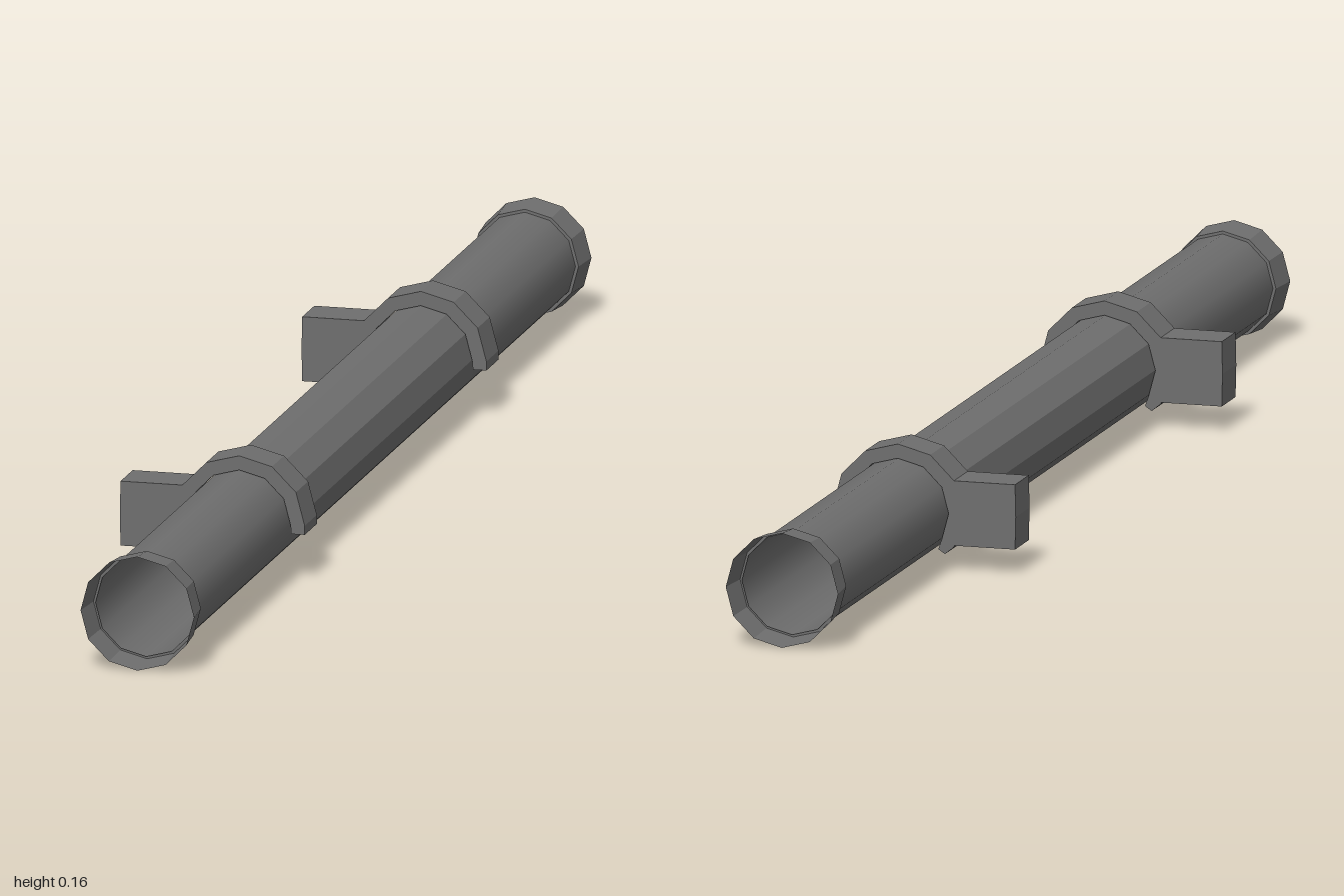
import * as THREE from 'three';

const CX = 0.036, CY = 0.078; // tube axis
const SIDES = 12;

export function createModel() {
  const model = new THREE.Group();
  const metal = new THREE.MeshStandardMaterial({ color: 0x6e6e6e, side: THREE.DoubleSide });
  metal.name = 'darkGreyMetal';

  const add = (name, geometry, x, y, z) => {
    const mesh = new THREE.Mesh(geometry, metal);
    mesh.name = name;
    mesh.position.set(x, y, z);
    model.add(mesh);
    return mesh;
  };

  // Open tube along z, either smooth or faceted
  const pipe = (rFront, rBack, length, faceted) => {
    let g = new THREE.CylinderGeometry(rFront, rBack, length, SIDES, 1, true).rotateX(Math.PI / 2);
    if (faceted) {
      g = g.toNonIndexed();
      g.computeVertexNormals();
    }
    return g;
  };

  // Flat profile (relative to the tube axis) given depth along z
  const slab = (points, depth) => new THREE.ExtrudeGeometry(
    new THREE.Shape(points.map(([x, y]) => new THREE.Vector2(x, y))),
    { depth, bevelEnabled: false }
  ).translate(0, 0, -depth / 2);

  // Clamp band: open arc from just below the right side round to the lower left
  const at = (r, deg) => [r * Math.cos(deg * Math.PI / 180), r * Math.sin(deg * Math.PI / 180)];
  const angles = [0, 30, 60, 90, 120, 150, 180, 210];
  const band = [
    [0.088, -0.012],
    ...angles.map(a => at(0.088, a)),
    [-0.064, -0.054], [-0.055, -0.048],
    ...angles.slice().reverse().map(a => at(0.069, a)),
    [0.07, -0.012],
  ];
  const bandGeometry = slab(band, 0.061);

  // Mounting block with a slightly peaked outer face
  const blockGeometry = slab([
    [-0.072, -0.042], [-0.072, 0.044], [-0.159, 0.044], [-0.16, 0.001], [-0.159, -0.042],
  ], 0.061);

  // Tube: faceted middle between the clamps, smooth ends
  add('middleTube', pipe(0.068, 0.068, 0.914, true), CX, CY, 0);

  for (const [side, s] of [['front', 1], ['back', -1]]) {
    add(side + 'Tube', pipe(0.068, 0.068, 0.498, false), CX, CY, s * 0.706);
    add(side + 'Clamp', bandGeometry, CX, CY, s * 0.457);
    add(side + 'MountBlock', blockGeometry, CX, CY, s * 0.457);

    // Flared collar with a small step where it meets the tube
    const [rFront, rBack] = s > 0 ? [0.076, 0.072] : [0.072, 0.076];
    add(side + 'Collar', pipe(rFront, rBack, 0.05, true), CX, CY, s * 0.975);
    add(side + 'CollarStep', new THREE.RingGeometry(0.068, 0.072, SIDES), CX, CY, s * 0.95);
  }
  return model;
}
